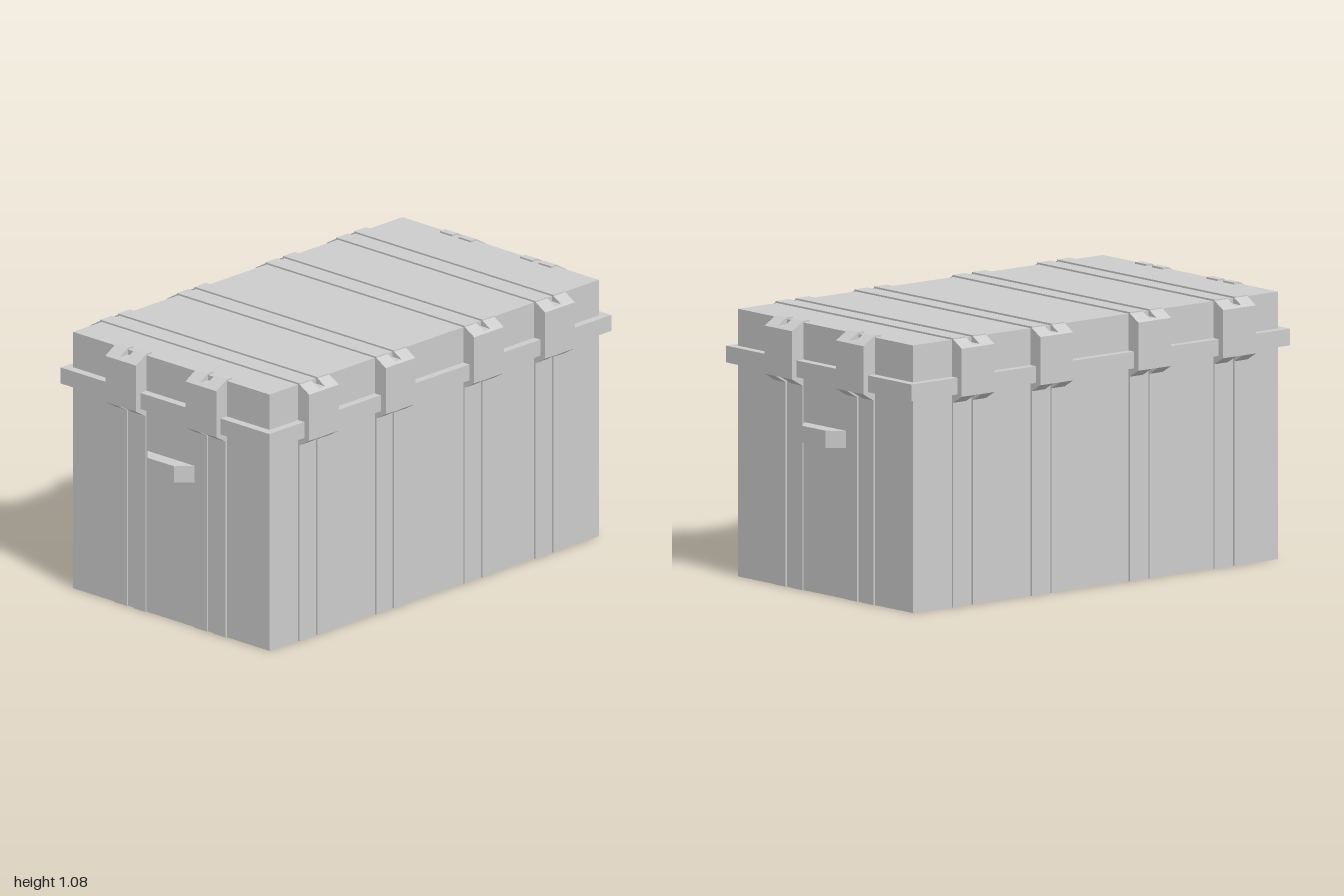
import * as THREE from 'three';

const CORE = { x: 0.94, z: 0.537, h: 1.073 }; // half sizes and height of the chest
const REACH = { x: 1.0, z: 0.597 };           // outermost face of the clasps
const LONG_CLASPS = [-0.692, -0.255, 0.25, 0.655]; // x centres, front and back
const END_CLASPS = [-0.219, 0.219];                // z centres, both ends
const PRONG = 0.067;  // width of one rib or clasp prong
const GAP = 0.035;    // slot between two prongs
const OFFSET = (PRONG + GAP) / 2;

export function createModel() {
  const model = new THREE.Group();
  model.name = 'storageChest';
  const grey = new THREE.MeshStandardMaterial({ color: 0xcccccc, flatShading: true });
  grey.name = 'plain grey';

  const add = (name, geometry, parent = model) => {
    const mesh = new THREE.Mesh(geometry, grey);
    mesh.name = name;
    parent.add(mesh);
    return mesh;
  };
  // Box given by width, depth and bottom/top heights
  const slab = (name, w, d, y0, y1, x = 0, z = 0) =>
    add(name, new THREE.BoxGeometry(w, y1 - y0, d)).position.set(x, (y0 + y1) / 2, z);
  // Outline in the xy plane, extruded evenly about z = 0
  const prism = (points, width) => {
    const shape = new THREE.Shape(points.map(([x, y]) => new THREE.Vector2(x, y)));
    return new THREE.ExtrudeGeometry(shape, { depth: width, bevelEnabled: false })
      .translate(0, 0, -width / 2);
  };

  // Chest and the rim where the lid meets it
  slab('chestBody', CORE.x * 2, CORE.z * 2, 0, CORE.h);
  slab('lidRim', 1.952, 1.14, 0.858, 0.925);

  // Shallow ribs: over the lid lengthways, and up both ends
  for (const s of [-1, 1]) {
    for (const x of LONG_CLASPS)
      slab('wrapRib', PRONG, 1.09, 0.0005, 1.08, x + s * OFFSET, 0);
    for (const z of END_CLASPS)
      slab('endRib', 1.894, PRONG, 0.0005, 1.0725, 0, z + s * OFFSET);
  }

  // Clasp: two chamfered prongs joined by a shorter bridge; x = 0 is its outer face
  const prongShape = [[-0.09, 0.82], [-0.054, 0.82], [0, 0.852], [0, 1.045], [-0.06, 1.08], [-0.09, 1.08]];
  const bridgeShape = [[-0.09, 0.852], [0, 0.852], [0, 1.045], [-0.011, 1.0515], [-0.09, 1.0515]];
  const prongGeometry = prism(prongShape, PRONG);
  const bridgeGeometry = prism(bridgeShape, GAP);
  const clasp = (x, z, angle) => {
    const group = new THREE.Group();
    group.name = 'clasp';
    for (const s of [-1, 1]) add('claspProng', prongGeometry, group).position.z = s * OFFSET;
    add('claspBridge', bridgeGeometry, group);
    group.position.set(x, 0, z);
    group.rotation.y = angle;
    model.add(group);
  };
  for (const x of LONG_CLASPS) {
    clasp(x, REACH.z, -Math.PI / 2);
    clasp(x, -REACH.z, Math.PI / 2);
  }
  for (const z of END_CLASPS) {
    clasp(REACH.x, z, 0);
    clasp(-REACH.x, z, Math.PI);
  }

  // Tapered grip on each end
  const grip = prism([[0.93, -0.13], [0.94, -0.13], [1, -0.072], [1, 0.072], [0.94, 0.13], [0.93, 0.13]], 0.069);
  grip.rotateX(-Math.PI / 2);
  for (const angle of [0, Math.PI]) {
    const handle = add('handle', grip);
    handle.position.y = 0.64;
    handle.rotation.y = angle;
  }
  return model;
}
